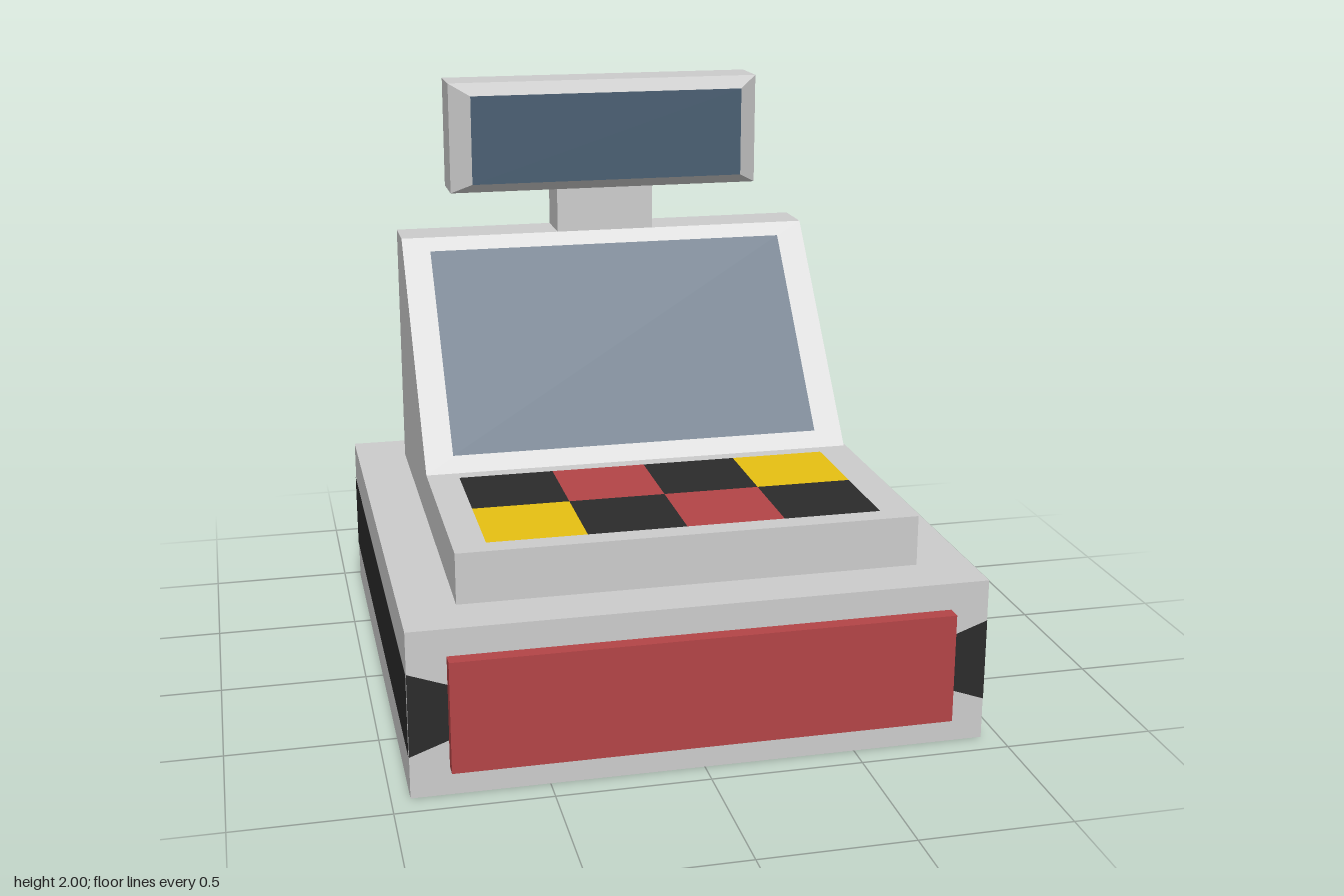
import * as THREE from 'three';

const paint = (color) => new THREE.MeshStandardMaterial({ color, flatShading: true });

export function createModel() {
  const model = new THREE.Group();
  const grey = paint(0xcccccc), black = paint(0x2b2b2b), red = paint(0xb34446);
  const yellow = paint(0xe6c012), blue = paint(0x465c70);
  const LIFT = 0.002; // keeps flat inlays just clear of the surface below

  const add = (name, geometry, material, parent = model) => {
    const mesh = new THREE.Mesh(geometry, material);
    mesh.name = name;
    parent.add(mesh);
    return mesh;
  };
  // Box given by its two extreme corners
  const block = (name, [x0, y0, z0], [x1, y1, z1], material) => {
    const mesh = add(name, new THREE.BoxGeometry(x1 - x0, y1 - y0, z1 - z0), material);
    mesh.position.set((x0 + x1) / 2, (y0 + y1) / 2, (z0 + z1) / 2);
    return mesh;
  };
  const panel = (name, w, h, material, x, y, z, rx = 0, ry = 0, parent = model) => {
    const mesh = add(name, new THREE.PlaneGeometry(w, h), material, parent);
    mesh.position.set(x, y, z);
    mesh.rotation.set(rx, ry, 0);
    return mesh;
  };

  // Base and cash drawer
  block('base', [-0.94, 0, -0.965], [0.94, 0.555, 0.915], grey);
  block('drawerFront', [-0.815, 0.095, 0.915], [0.815, 0.465, 0.965], red);

  // Dark band around the sides and back, tapering in on the front
  for (const s of [-1, 1]) {
    panel('sideBand', 1.88, 0.275, black, s * (0.94 + LIFT), 0.279, -0.025, 0, s * Math.PI / 2);
    const taper = new THREE.Shape([[0.94, 0.14], [0.94, 0.417], [0.81, 0.37], [0.81, 0.187]]
      .map(([x, y]) => new THREE.Vector2(s * x, y)));
    add('frontBandEnd', new THREE.ShapeGeometry(taper), black).position.z = 0.915 + LIFT;
  }
  panel('backBand', 1.88, 0.275, black, 0, 0.279, -0.965 - LIFT, 0, Math.PI);

  // Wedge body: side profile in (z, y), extruded across x
  const profile = new THREE.Shape([[0.735, 0.555], [0.735, 0.725], [-0.025, 0.725],
    [-0.62, 1.44], [-0.79, 1.44], [-0.79, 0.555]].map(([z, y]) => new THREE.Vector2(-z, y)));
  const body = new THREE.ExtrudeGeometry(profile, { depth: 1.52, bevelEnabled: false });
  body.translate(0, 0, -0.76).rotateY(Math.PI / 2);
  add('body', body, grey);

  // Screen lying on the slope
  const tilt = Math.atan2(0.595, 0.715);
  panel('screen', 1.32, 0.806, blue, 0, 1.085 + LIFT * Math.sin(tilt),
    -0.325 + LIFT * Math.cos(tilt), -tilt);

  // Chequered keys
  const keys = new THREE.Group();
  keys.name = 'keypad';
  model.add(keys);
  const layout = [[black, red, black, yellow], [yellow, black, red, black]];
  layout.forEach((row, r) => row.forEach((material, c) => {
    panel('key', 0.326, 0.318, material, (c - 1.5) * 0.326, 0.725 + LIFT,
      0.189 + r * 0.318, -Math.PI / 2, 0, keys);
  }));

  // Customer display on its neck
  block('displayNeck', [-0.18, 1.44, -0.79], [0.18, 1.6, -0.62], grey);
  block('displayCase', [-0.575, 1.6, -0.79], [0.575, 2, -0.62], grey);
  const bezel = block('displayBezel', [-0.575, 1.6, -0.62], [0.575, 2, -0.555], grey);
  const p = bezel.geometry.attributes.position;
  for (let i = 0; i < p.count; i++) {
    if (p.getZ(i) > 0) p.setXY(i, Math.sign(p.getX(i)) * 0.503, Math.sign(p.getY(i)) * 0.16);
  }
  bezel.geometry.computeVertexNormals();
  panel('displayScreen', 1.006, 0.32, blue, 0, 1.8, -0.555 + LIFT);

  return model;
}
